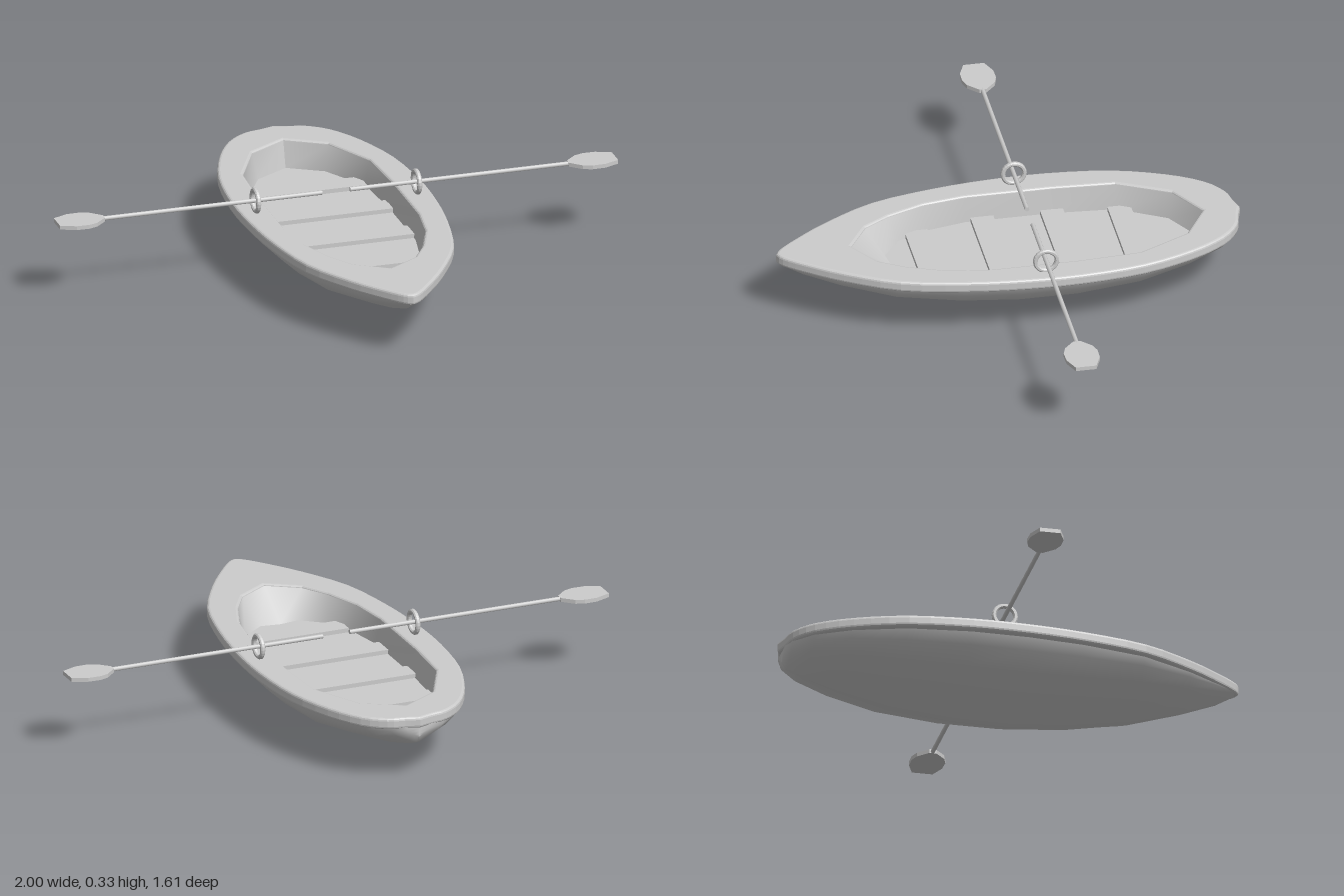
import * as THREE from 'three';

const grey = new THREE.MeshStandardMaterial({ color: 0xcccccc, roughness: 0.8 });
const greyDouble = new THREE.MeshStandardMaterial({ color: 0xcccccc, roughness: 0.8, side: THREE.DoubleSide });

function add(parent, name, geometry, material = grey) {
  const mesh = new THREE.Mesh(geometry, material);
  mesh.name = name;
  parent.add(mesh);
  return mesh;
}

// Skin over rows of [x, y, z] points, all rows the same length
function loft(rows) {
  const n = rows[0].length, index = [];
  for (let i = 0; i < rows.length - 1; i++) {
    for (let j = 0; j < n - 1; j++) {
      const a = i * n + j, c = a + n;
      index.push(a, a + 1, c, a + 1, c + 1, c);
    }
  }
  const geo = new THREE.BufferGeometry();
  geo.setAttribute('position', new THREE.Float32BufferAttribute(rows.flat(2), 3));
  geo.setIndex(index);
  geo.computeVertexNormals();
  return geo;
}

// Mirrors a [x, z] half outline (stern to bow) into a closed outline
function mirrorOutline(half) {
  const other = half.slice(1, -1).reverse().map(([x, z]) => [-x, z]);
  return [...half, ...other].map(([x, z]) => new THREE.Vector2(x, z));
}

// z, half width of gunwale, keel height
const stations = [
  [-0.795, 0.05, 0.165], [-0.78, 0.11, 0.14], [-0.72, 0.185, 0.115], [-0.6, 0.255, 0.075],
  [-0.42, 0.315, 0.028], [-0.2, 0.34, 0.004], [0, 0.337, 0.002], [0.2, 0.315, 0.02],
  [0.42, 0.265, 0.06], [0.6, 0.17, 0.115], [0.72, 0.085, 0.16], [0.785, 0.03, 0.198]
];

// Half cross-section of the hull, as fractions of width and height
const section = [[0, 0], [0.08, 0.03], [0.36, 0.24], [0.7, 0.5], [0.87, 0.76], [0.93, 1]];

const openingTop = [
  [0, -0.68], [0.135, -0.6], [0.225, -0.42], [0.238, -0.2], [0.238, 0.1],
  [0.215, 0.25], [0.165, 0.38], [0.11, 0.47], [0, 0.54]
];
const openingFloor = [
  [0, -0.655], [0.12, -0.585], [0.212, -0.42], [0.228, -0.2], [0.228, 0.1],
  [0.2, 0.24], [0.155, 0.345], [0.07, 0.41], [0, 0.4]
];

function buildHull(boat) {
  const half = section.slice(1).map(([x, y]) => [-x, y]).reverse();
  const rows = stations.map(([z, w, keel]) =>
    [...half, ...section].map(([x, y]) => [x * w, keel + y * (0.21 - keel), z]));
  // Close the stern with a small transom
  rows.unshift(rows[0].map(([, y]) => [0, y, -0.797]));
  add(boat, 'hull', loft(rows), greyDouble);
}

function buildGunwale(boat) {
  const side = stations.map(([z, w]) => new THREE.Vector2(w, z));
  const curve = new THREE.SplineCurve([
    new THREE.Vector2(0, -0.81), ...side, new THREE.Vector2(0, 0.802)
  ]);
  const outline = mirrorOutline(curve.getPoints(39).map(p => [p.x, p.y]));
  const shape = new THREE.Shape(outline);
  shape.holes.push(new THREE.Path(mirrorOutline(openingTop)));
  const geo = new THREE.ExtrudeGeometry(shape, {
    depth: 0.02, bevelThickness: 0.01, bevelSize: 0.01, bevelOffset: -0.01, bevelSegments: 3
  });
  geo.rotateX(Math.PI / 2).translate(0, 0.232, 0);
  add(boat, 'gunwale', geo);
}

function buildInterior(boat) {
  const ring = (half, y) => {
    const points = mirrorOutline(half).map(p => [p.x, y, p.y]);
    return [...points, points[0]];
  };
  const floorY = 0.145;
  add(boat, 'innerWall', loft([ring(openingTop, 0.235), ring(openingFloor, floorY)]), greyDouble);
  const floor = new THREE.ShapeGeometry(new THREE.Shape(mirrorOutline(openingFloor)));
  floor.rotateX(Math.PI / 2).translate(0, floorY, 0);
  add(boat, 'floor', floor, greyDouble);
  // Cross planks: z and half width
  for (const [z, w] of [[-0.43, 0.208], [-0.2, 0.23], [0.042, 0.23], [0.28, 0.185]]) {
    add(boat, 'plank', new THREE.BoxGeometry(w * 2, 0.02, 0.08)).position.set(0, 0.15, z);
  }
}

function buildOar(side) {
  const oar = new THREE.Group();
  oar.name = side > 0 ? 'leftOar' : 'rightOar';
  oar.position.set(0, 0.283, -0.08);

  const shaft = new THREE.CylinderGeometry(0.008, 0.008, 0.79, 8);
  shaft.rotateZ(Math.PI / 2);
  add(oar, 'oarShaft', shaft).position.x = side * 0.445;

  // Flat blade with tapered ends
  const bladeHalf = [[0.83, 0.012], [0.868, 0.048], [0.9, 0.059], [0.945, 0.058], [0.998, 0.036]];
  const points = [...bladeHalf, ...bladeHalf.map(([x, z]) => [x, -z]).reverse()]
    .map(([x, z]) => new THREE.Vector2(side * x, z));
  const blade = new THREE.ExtrudeGeometry(new THREE.Shape(points), { depth: 0.014, bevelEnabled: false });
  blade.rotateX(Math.PI / 2).translate(0, 0.007, 0);
  add(oar, 'oarBlade', blade);

  // Rowlock ring standing on the gunwale
  const ring = new THREE.Shape().absarc(0, 0, 0.045, 0, Math.PI * 2);
  ring.holes.push(new THREE.Path().absarc(0, 0, 0.03, 0, Math.PI * 2, true));
  const lock = new THREE.ExtrudeGeometry(ring, {
    depth: 0.008, bevelThickness: 0.004, bevelSize: 0.004, bevelOffset: -0.004,
    bevelSegments: 1, curveSegments: 12
  });
  lock.translate(0, 0, -0.004).rotateY(Math.PI / 2);
  add(oar, 'rowlock', lock).position.x = side * 0.288;
  return oar;
}

export function createModel() {
  const boat = new THREE.Group();
  boat.name = 'rowingBoat';
  buildHull(boat);
  buildGunwale(boat);
  buildInterior(boat);
  for (const side of [-1, 1]) boat.add(buildOar(side));
  return boat;
}
